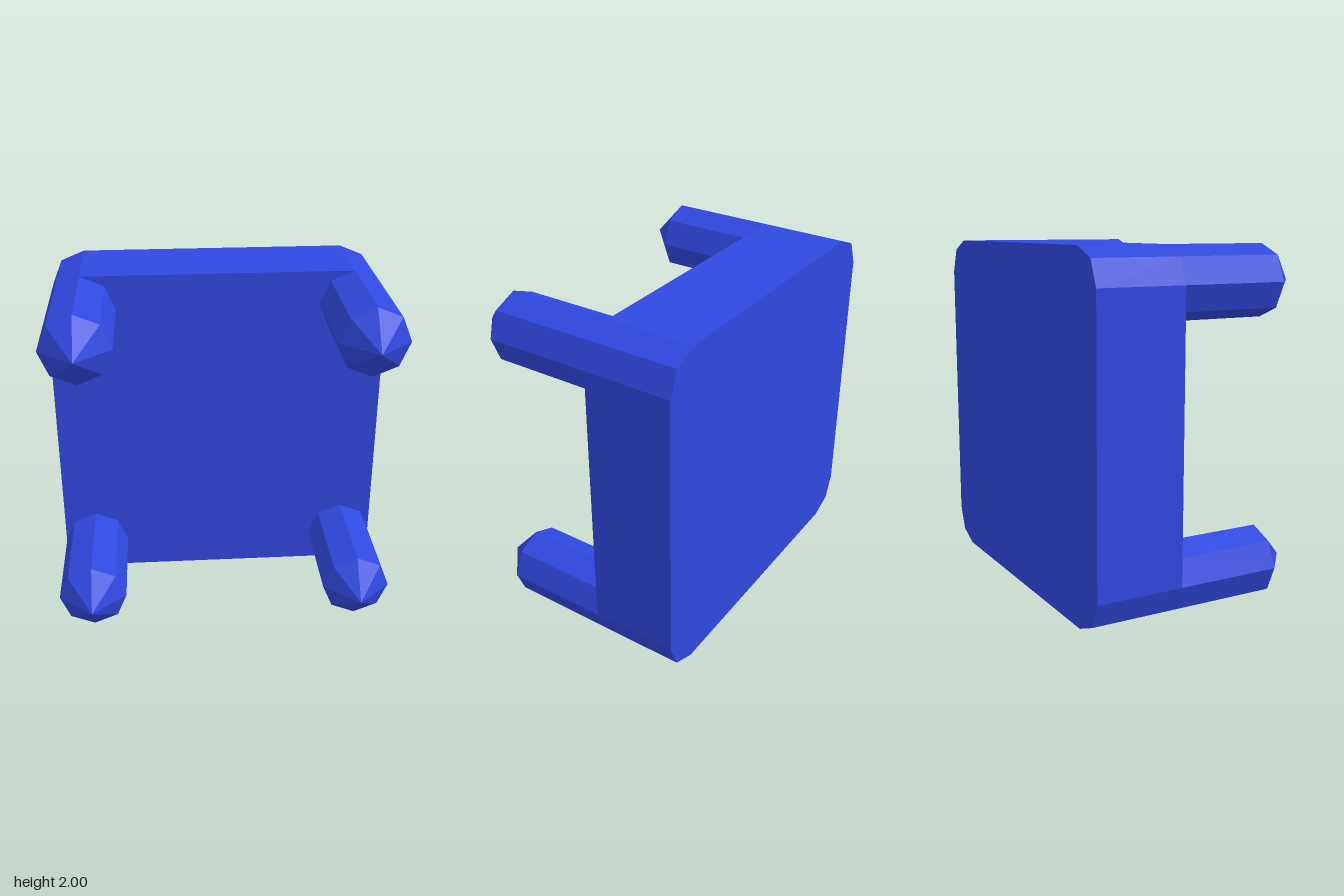
import * as THREE from 'three';

export function createModel() {
  const group = new THREE.Group();
  const material = new THREE.MeshStandardMaterial({ color: 0x3048e0, flatShading: true });
  const R = 0.2, OFF = 0.8, MID = 1;
  const BACK = -0.65, PLATE_FRONT = -0.14, SHOULDER = 0.475, TIP = 0.65;

  const add = (geometry, name, parent) => {
    const mesh = new THREE.Mesh(geometry, material);
    mesh.name = name;
    parent.add(mesh);
  };

  // Plate: a square whose corners follow the octagonal posts
  const outline = [];
  [[1, 1], [-1, 1], [-1, -1], [1, -1]].forEach(([sx, sy], corner) => {
    for (let i = 0; i < 3; i++) {
      const a = (corner * 2 + i) * Math.PI / 4;
      outline.push(new THREE.Vector2(sx * OFF + R * Math.cos(a), MID + sy * OFF + R * Math.sin(a)));
    }
  });
  const plate = new THREE.ExtrudeGeometry(new THREE.Shape(outline), {
    depth: PLATE_FRONT - BACK, bevelEnabled: false,
  });
  plate.translate(0, 0, BACK);
  add(plate, 'plate', group);

  // Four octagonal posts with pointed ends
  const length = SHOULDER - PLATE_FRONT;
  const shaft = new THREE.CylinderGeometry(R, R, length, 8, 1, true)
    .rotateX(Math.PI / 2).translate(0, 0, PLATE_FRONT + length / 2);
  const point = new THREE.ConeGeometry(R, TIP - SHOULDER, 8, 1, true)
    .rotateX(Math.PI / 2).translate(0, 0, (SHOULDER + TIP) / 2);
  for (const [sx, side] of [[1, 'Left'], [-1, 'Right']]) {
    for (const [sy, level] of [[1, 'upper'], [-1, 'lower']]) {
      const post = new THREE.Group();
      post.name = `${level}${side}Post`;
      post.position.set(sx * OFF, MID + sy * OFF, 0);
      add(shaft, 'shaft', post);
      add(point, 'point', post);
      group.add(post);
    }
  }
  return group;
}
